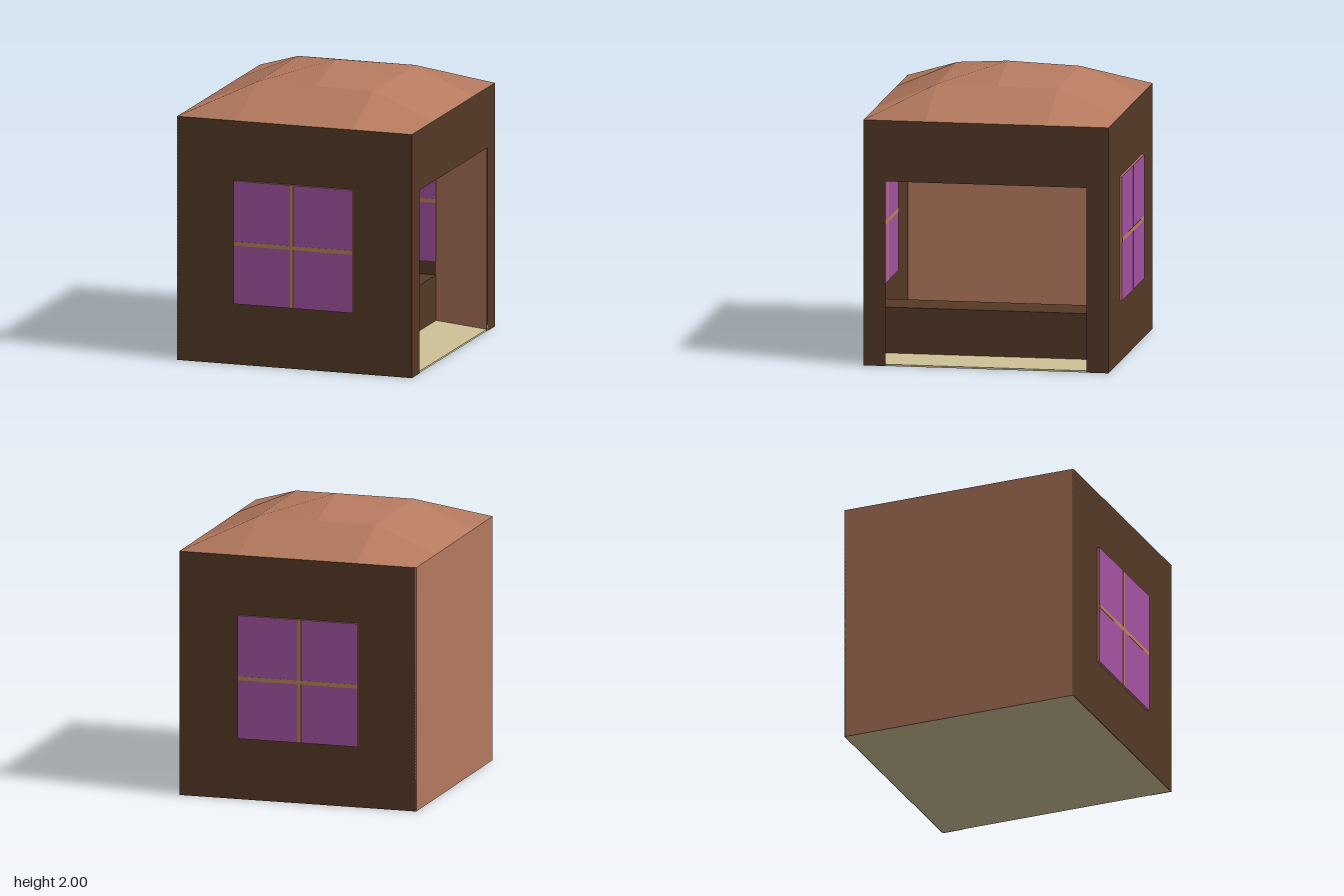
import * as THREE from 'three';

const H = 0.855;      // half width of the hut
const TOP = 1.715;    // wall height
const MID = 0.43;     // inner grid line

const make = (name, color) => {
  const m = new THREE.MeshStandardMaterial({ color });
  m.name = name;
  return m;
};

export function createModel() {
  const darkWood = make('dark wood', 0x553926);
  const clay = make('clay', 0xb57a5f);
  const glass = make('purple glass', 0xa452a2);
  const tan = make('tan bars', 0xb98358);
  const sand = make('sand floor', 0xcfc297);
  darkWood.side = clay.side = THREE.DoubleSide;

  const model = new THREE.Group();
  model.name = 'hut';

  const add = (name, geometry, material, parent = model) => {
    const mesh = new THREE.Mesh(geometry, material);
    mesh.name = name;
    parent.add(mesh);
    return mesh;
  };
  const box = (name, material, size, pos, parent) => {
    const mesh = add(name, new THREE.BoxGeometry(...size), material, parent);
    mesh.position.set(...pos);
    return mesh;
  };
  // Flat four-cornered faces, each with one averaged normal
  const quads = (list) => {
    const pos = [], nor = [];
    for (const q of list) {
      const [a, b, c, d] = q.map((p) => new THREE.Vector3(...p));
      const n = c.clone().sub(a).cross(d.clone().sub(b)).normalize();
      for (const p of [a, b, c, a, c, d]) {
        pos.push(p.x, p.y, p.z);
        nor.push(n.x, n.y, n.z);
      }
    }
    const g = new THREE.BufferGeometry();
    g.setAttribute('position', new THREE.Float32BufferAttribute(pos, 3));
    g.setAttribute('normal', new THREE.Float32BufferAttribute(nor, 3));
    return g;
  };

  // Floor and closed side wall
  box('floor', sand, [2 * H - 0.01, 0.012, 2 * H - 0.01], [0, 0.006, 0]);
  box('closedWall', clay, [0.008, TOP, 2 * H], [-H + 0.004, TOP / 2, 0]);

  // Open side: a frame around the wide doorway
  const side = new THREE.Shape([
    [-H, 0], [-0.7, 0], [-0.7, 1.29], [0.7, 1.29], [0.7, 0], [H, 0], [H, TOP], [-H, TOP],
  ].map(([x, y]) => new THREE.Vector2(x, y)));
  const doorway = add('doorwayWall', new THREE.ShapeGeometry(side), darkWood);
  doorway.rotation.y = Math.PI / 2;
  doorway.position.x = H;

  // Front and back walls with their windows, and the slanted door jambs
  const W = 0.866;
  for (const s of [1, -1]) {
    const end = s > 0 ? 'front' : 'back';
    box(end + 'Wall', darkWood, [2 * H, TOP, 0.006], [0, TOP / 2, s * (H - 0.003)]);

    const win = new THREE.Group();
    win.name = end + 'Window';
    win.position.set(-0.005, 0.862, s * 0.857);
    model.add(win);
    box('windowFrame', clay, [W, W, 0.028], [0, 0, 0], win);
    for (const f of [1, -1]) {
      box('pane', glass, [W, W, 0.002], [0, 0, f * 0.015], win);
      box('uprightBar', tan, [0.025, W, 0.002], [-0.01, 0, f * 0.0165], win);
      box('crossBar', tan, [W, 0.028, 0.002], [0, -0.008, f * 0.0165], win);
    }

    const jamb = [
      [H - 0.001, 0, s * 0.7], [H - 0.001, 1.29, s * 0.7],
      [MID, 1.29, s * 0.848], [MID, 0, s * 0.848],
    ];
    add(end + 'Jamb', quads([s > 0 ? jamb : jamb.reverse()]), clay);
  }

  // Counter across the room
  box('counter', darkWood, [0.31, 0.32, 2 * H - 0.014], [0.275, 0.172, 0]);

  // Faceted roof: a 4 x 4 grid rising in two steps to the centre
  const line = [-H, -0.425, 0, 0.425, H];
  const height = [2.0, 1.9, TOP];
  const point = (i, j) => [line[i], height[Math.max(Math.abs(i - 2), Math.abs(j - 2))], line[j]];
  const faces = [];
  for (let i = 0; i < 4; i++) {
    for (let j = 0; j < 4; j++) {
      const q = [point(i, j), point(i, j + 1), point(i + 1, j + 1), point(i + 1, j)];
      // Turn the corner order so each diagonal runs along the hip
      if ((i < 2) !== (j < 2)) q.push(q.shift());
      faces.push(q);
    }
  }
  add('roof', quads(faces), clay);

  return model;
}
